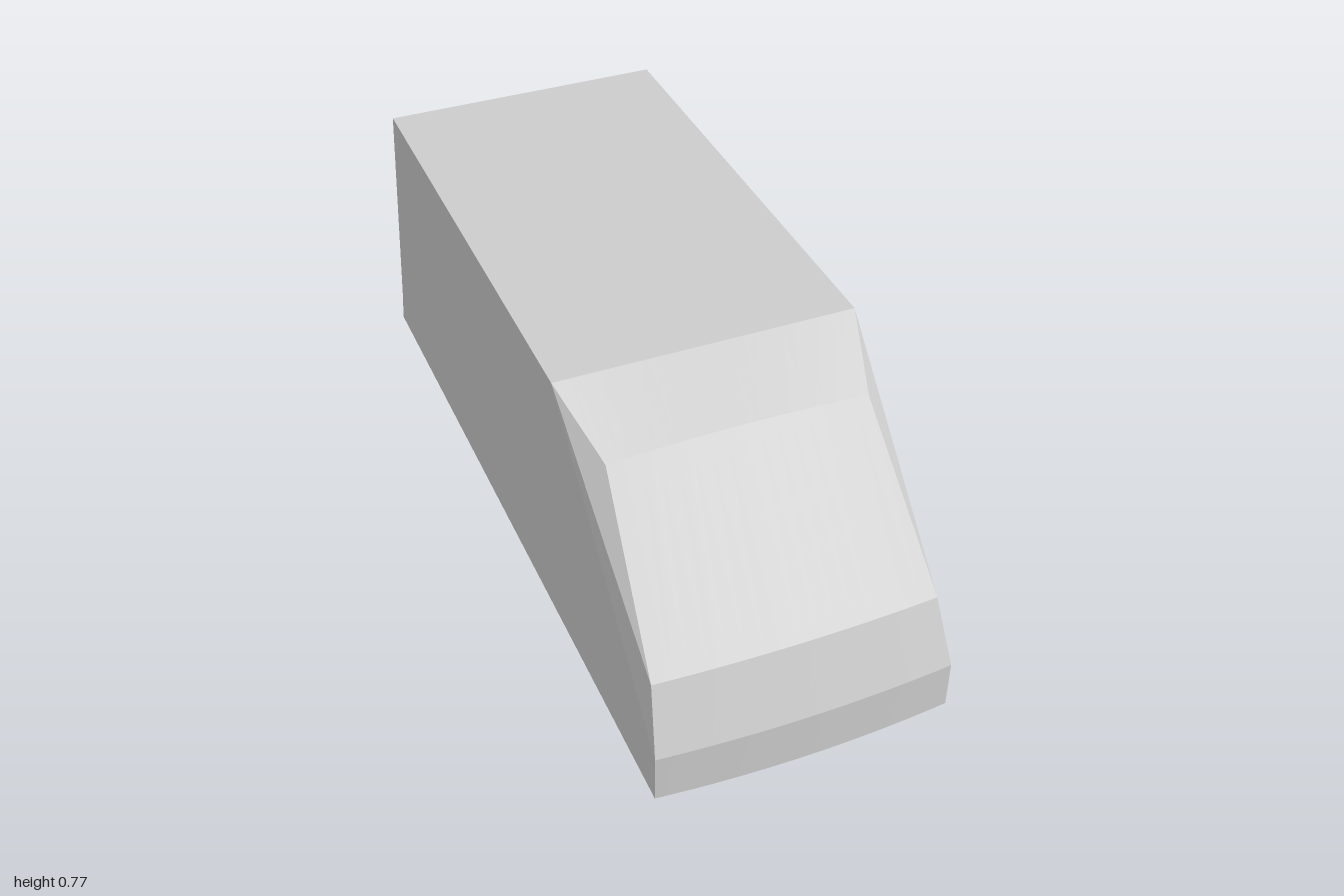
import * as THREE from 'three';
import { toCreasedNormals } from 'three/addons/utils/BufferGeometryUtils.js';

export function createModel() {
  const group = new THREE.Group();
  const paint = new THREE.MeshStandardMaterial({ color: 0xcccccc });
  paint.name = 'light grey';

  // Rows around the body: half width, middle y and z, then edge y and z
  const rows = [
    [0.378, 0.0, 1.0, 0.003, 0.983],       // front bottom
    [0.378, 0.135, 1.0, 0.135, 0.983],     // bumper top
    [0.36, 0.307, 0.93, 0.303, 0.915],     // bonnet top
    [0.33, 0.68, 0.582, 0.662, 0.575],     // windscreen top
    [0.385, 0.77, 0.382, 0.77, 0.382],     // roof front
    [0.385, 0.77, -0.927, 0.77, -0.927],   // roof rear
    [0.394, 0.13, -0.992, 0.13, -0.992],   // tail crease
    [0.397, 0.04, -1.0, 0.04, -1.0],       // rear bottom
  ];
  const steps = 16;
  const positions = [];
  const indices = [];

  // Each row bows gently from its edges to its middle
  for (const [w, ym, zm, ye, ze] of rows) {
    for (let j = 0; j <= steps; j++) {
      const u = (2 * j) / steps - 1;
      positions.push(w * u, ym + (ye - ym) * u * u, zm + (ze - zm) * u * u);
    }
  }
  const at = (row, j) => (row % rows.length) * (steps + 1) + j;

  // Nose, roof, tail and underside
  for (let i = 0; i < rows.length; i++) {
    for (let j = 0; j < steps; j++) {
      const a = at(i, j), b = at(i, j + 1), c = at(i + 1, j + 1), d = at(i + 1, j);
      indices.push(a, b, c, a, c, d);
    }
  }

  // Cheeks and flat sides fan out from the front roof corners
  const rim = [3, 2, 1, 0, 7, 6, 5];
  for (let k = 0; k < rim.length - 1; k++) {
    indices.push(at(4, steps), at(rim[k], steps), at(rim[k + 1], steps));
    indices.push(at(4, 0), at(rim[k + 1], 0), at(rim[k], 0));
  }

  const geometry = new THREE.BufferGeometry();
  geometry.setAttribute('position', new THREE.Float32BufferAttribute(positions, 3));
  geometry.setIndex(indices);
  const body = new THREE.Mesh(toCreasedNormals(geometry, 0.15), paint);
  body.name = 'vanBody';
  group.add(body);
  return group;
}
